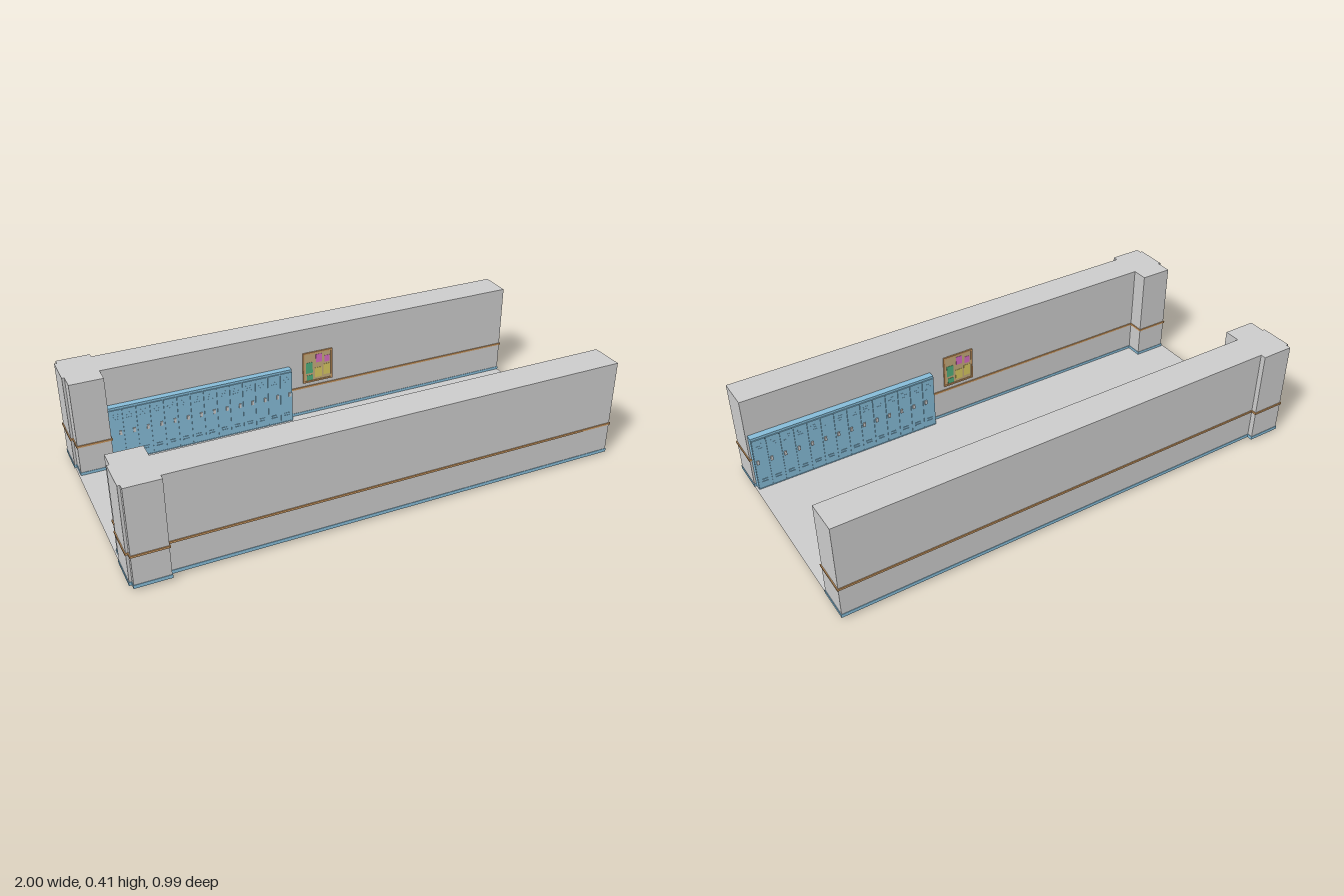
import * as THREE from 'three';

const mat = (color) => new THREE.MeshStandardMaterial({ color });
const grey = mat(0xcccccc), blue = mat(0x86bcd8), wood = mat(0xc8965f);
const cork = mat(0xc4ab7c), green = mat(0x4fae7c), pink = mat(0xd86cc4), yellow = mat(0xd8c860);

// Box given by its two extremes on every axis
function box(parent, name, material, [x0, x1], [y0, y1], [za, zb]) {
  const mesh = new THREE.Mesh(
    new THREE.BoxGeometry(x1 - x0, y1 - y0, Math.abs(zb - za)), material);
  mesh.position.set((x0 + x1) / 2, (y0 + y1) / 2, (za + zb) / 2);
  mesh.name = name;
  parent.add(mesh);
  return mesh;
}

// Wall outline with a thicker pillar near one end, grown outward by g.
// d is measured from the inner wall face, positive towards the outside.
function wallSlab(parent, name, material, side, face, g, y0, y1) {
  const outline = [
    [-0.995 - g, -g], [-0.985 - g, -g], [-0.985 - g, -0.067 - g], [-0.85 + g, -0.067 - g],
    [-0.85 + g, -g], [0.993 + g, -g], [0.993 + g, 0.134 + g], [-0.85 + g, 0.134 + g],
    [-0.85 + g, 0.156 + g], [-0.985 - g, 0.156 + g], [-0.985 - g, 0.134 + g], [-0.995 - g, 0.134 + g],
  ];
  const shape = new THREE.Shape(
    outline.map(([x, d]) => new THREE.Vector2(x, -side * (face + d))));
  const geo = new THREE.ExtrudeGeometry(shape, { depth: y1 - y0, bevelEnabled: false });
  geo.rotateX(-Math.PI / 2).translate(0, y0, 0);
  const mesh = new THREE.Mesh(geo, material);
  mesh.name = name;
  parent.add(mesh);
}

// Row of lockers standing against the inner face of a wall
function lockerRow(side, face, x0, x1) {
  const row = new THREE.Group();
  row.name = 'lockerRow';
  const z = (d) => side * (face - d);
  box(row, 'lockerPlinth', blue, [x0, x1], [0, 0.012], [z(-0.008), z(0.03)]);
  box(row, 'lockerBody', blue, [x0, x1], [0.012, 0.255], [z(0), z(0.028)]);
  const count = 14, step = (x1 - x0) / count;
  for (let i = 0; i < count; i++) {
    const a = x0 + i * step + 0.002, b = x0 + (i + 1) * step - 0.002;
    // Door, leaning slightly so that it is proudest at the foot
    const door = box(row, 'lockerDoor', blue, [a, b], [0.016, 0.245], [z(0.026), z(0.031)]);
    door.rotation.x = -side * 0.012;
    // Ventilation louvres near the top and the foot
    for (const y of [0.2, 0.211, 0.222, 0.04, 0.051]) {
      box(row, 'louvre', blue, [a + 0.014, b - 0.014], [y, y + 0.004], [z(0.029), z(0.0325)]);
    }
    box(row, 'lockerHandle', grey, [b - 0.016, b - 0.006], [0.132, 0.15], [z(0.03), z(0.036)]);
  }
  return row;
}

// Framed notice board with paper sheets
function noticeBoard(side, face) {
  const board = new THREE.Group();
  board.name = 'noticeBoard';
  const z = (d) => side * (face - d);
  const [x0, x1, y0, y1, t] = [0.0, 0.137, 0.162, 0.303, 0.007];
  box(board, 'frameBottom', wood, [x0, x1], [y0, y0 + t], [z(0), z(0.006)]);
  box(board, 'frameTop', wood, [x0, x1], [y1 - t, y1], [z(0), z(0.006)]);
  box(board, 'frameSide', wood, [x0, x0 + t], [y0 + t, y1 - t], [z(0), z(0.006)]);
  box(board, 'frameSide', wood, [x1 - t, x1], [y0 + t, y1 - t], [z(0), z(0.006)]);
  box(board, 'corkPanel', cork, [x0 + t, x1 - t], [y0 + t, y1 - t], [z(0), z(0.003)]);
  const sheets = [
    [green, 0.014, 0.045, 0.205, 0.255], [yellow, 0.055, 0.088, 0.18, 0.225],
    [pink, 0.06, 0.088, 0.25, 0.288], [yellow, 0.095, 0.125, 0.185, 0.235],
    [green, 0.018, 0.045, 0.172, 0.195], [pink, 0.1, 0.124, 0.245, 0.275],
  ];
  for (const [m, a, b, c, d] of sheets) {
    // Sheets are placed as seen by a viewer facing the board
    const xs = side < 0 ? [a, b] : [x1 - b, x1 - a];
    box(board, 'paperSheet', m, xs, [c, d], [z(0.003), z(0.004)]);
  }
  return board;
}

export function createModel() {
  const model = new THREE.Group();
  model.name = 'corridor';

  // Floor sheet between the walls
  const floor = new THREE.Mesh(new THREE.PlaneGeometry(1.988, 0.668),
    new THREE.MeshStandardMaterial({ color: 0xcccccc, side: THREE.DoubleSide }));
  floor.rotation.x = -Math.PI / 2;
  floor.position.set(0, 0.01, -0.004);
  floor.name = 'floor';
  model.add(floor);

  // Front (+1) and back (-1) walls with their skirting, rail, lockers and board
  const sides = [
    { side: 1, face: 0.33, lockers: [0.2, 0.985] },
    { side: -1, face: 0.338, lockers: [-0.847, -0.062] },
  ];
  for (const { side, face, lockers } of sides) {
    const half = new THREE.Group();
    half.name = side > 0 ? 'frontWall' : 'backWall';
    wallSlab(half, 'wall', grey, side, face, 0, 0.01, 0.413);
    wallSlab(half, 'skirting', blue, side, face, 0.002, 0.008, 0.022);
    wallSlab(half, 'rail', wood, side, face, 0.004, 0.137, 0.145);
    half.add(lockerRow(side, face, ...lockers), noticeBoard(side, face));
    model.add(half);
  }
  return model;
}
